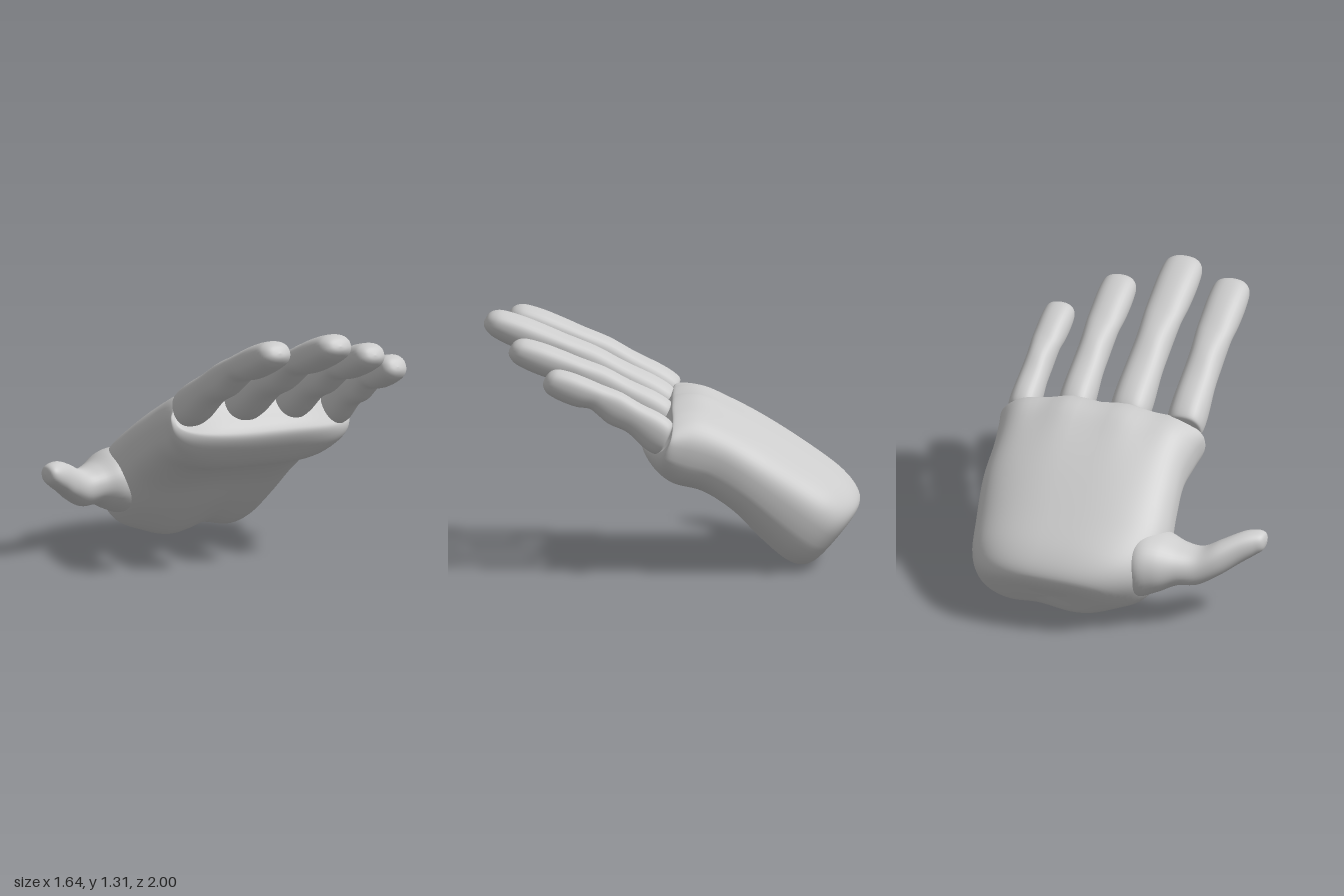
import * as THREE from 'three';

const material = new THREE.MeshStandardMaterial({ color: 0xcccccc });

// Smoothly interpolate between the rows of a section table
function sampleRows(rows, steps) {
  const out = [];
  const last = rows.length - 1;
  for (let i = 0; i < last; i++) {
    const [a, b, c, d] = [-1, 0, 1, 2].map((k) => rows[Math.min(last, Math.max(0, i + k))]);
    for (let s = 0; s < steps; s++) {
      const t = s / steps;
      out.push(b.map((_, k) => b[k] + 0.5 * t * (c[k] - a[k]
        + t * (2 * a[k] - 5 * b[k] + 4 * c[k] - d[k] + t * (3 * (b[k] - c[k]) + d[k] - a[k])))));
    }
  }
  out.push(rows[last]);
  return out;
}

// Skin a closed surface over rounded sections; place(row, u, v, f) returns a point, u and v in -1..1
function loft(name, rows, steps, sides, power, place) {
  const rings = sampleRows(rows, steps);
  const positions = [];
  const index = [];
  const round = (c) => Math.sign(c) * Math.pow(Math.abs(c), 2 / power);
  rings.forEach((row, i) => {
    for (let j = 0; j < sides; j++) {
      const a = (j / sides) * Math.PI * 2;
      positions.push(...place(row, round(Math.cos(a)), round(Math.sin(a)), i / (rings.length - 1)));
      if (i === rings.length - 1) continue;
      const p = i * sides + j;
      const q = i * sides + ((j + 1) % sides);
      index.push(p, q, p + sides, q, q + sides, p + sides);
    }
  });
  const geometry = new THREE.BufferGeometry();
  geometry.setAttribute('position', new THREE.Float32BufferAttribute(positions, 3));
  geometry.setIndex(index);
  geometry.computeVertexNormals();
  const mesh = new THREE.Mesh(geometry, material);
  mesh.name = name;
  return mesh;
}

const bump = (x, centre, width) => Math.exp(-(((x - centre) / width) ** 2));

// Palm: back edge (z, y), inner edge (z, y), right x, left x, from wrist to knuckles
function makePalm() {
  const rows = [
    [-0.88, 0.155, -0.88, 0.155, 0.24, 0.24],
    [-0.98, 0.265, -0.785, 0.03, 0.0, 0.51],
    [-0.993, 0.345, -0.7, -0.01, -0.14, 0.65],
    [-0.91, 0.45, -0.6, 0.02, -0.26, 0.72],
    [-0.73, 0.58, -0.46, 0.14, -0.315, 0.75],
    [-0.5, 0.73, -0.32, 0.29, -0.3, 0.775],
    [-0.3, 0.84, -0.16, 0.4, -0.285, 0.775],
    [-0.15, 0.9, 0.0, 0.45, -0.3, 0.795],
    [-0.02, 0.895, 0.1, 0.535, -0.325, 0.815],
    [0.01, 0.86, 0.16, 0.63, -0.305, 0.795],
    [0.045, 0.81, 0.15, 0.685, -0.23, 0.72],
    [0.095, 0.75, 0.095, 0.75, 0.24, 0.24],
  ];
  return loft('palm', rows, 6, 72, 2.7, ([tz, ty, bz, by, x0, x1], u, v, f) => {
    const x = (x0 + x1) / 2 + (u * (x1 - x0)) / 2;
    let y = (ty + by) / 2 + (v * (ty - by)) / 2;
    let z = (tz + bz) / 2 + (v * (tz - bz)) / 2;
    // Tendon ridges on the back, hollow between the pads on the inside
    if (v > 0) y += 0.01 * v * Math.cos(((x - 0.1) / 0.3) * Math.PI * 2) * bump(f, 0.68, 0.14);
    else {
      y -= v * (0.05 * bump(x, 0.35, 0.12) * bump(f, 0.22, 0.14) + 0.03 * bump(x, -0.1, 0.13) * bump(f, 0.17, 0.1));
      y -= v * 0.035 * bump(x, 0.2, 0.3) * bump(f, 0.45, 0.15);
    }
    // Knuckles fall away towards the little finger, and both ends bow outwards
    y -= 0.05 * Math.max(0, (x - 0.3) / 0.5) ** 2 * f;
    z += 0.1 * (x - 0.15) ** 2 * bump(f, 0.1, 0.2);
    z -= 0.1 * Math.abs((x - 0.24) / 0.55) ** 3 * bump(f, 0.95, 0.2);
    return [x, y, z];
  });
}

// Finger sections: position along length, half width, height above and below the axis
const fingerRows = [
  [-0.03, 0, 0, 0],
  [-0.025, 0.075, 0.065, 0.085],
  [0.0, 0.099, 0.092, 0.108],
  [0.1, 0.103, 0.108, 0.104],
  [0.27, 0.096, 0.111, 0.064],
  [0.42, 0.093, 0.122, 0.066],
  [0.53, 0.097, 0.118, 0.045],
  [0.6, 0.101, 0.114, 0.034],
  [0.7, 0.105, 0.112, 0.056],
  [0.82, 0.107, 0.106, 0.064],
  [0.92, 0.102, 0.092, 0.06],
  [0.965, 0.087, 0.074, 0.046],
  [0.992, 0.053, 0.044, 0.025],
  [1.0, 0, 0, 0],
];

function makeFinger({ name, base, tip, width, depth }) {
  const [dx, dy, dz] = tip.map((c, i) => c - base[i]);
  const length = Math.hypot(dz, dy);
  return loft(name, fingerRows, 5, 32, 2.3, ([t, w, top, bottom], u, v) => {
    const h = depth * ((top - bottom) / 2 + (v * (top + bottom)) / 2);
    return [
      base[0] + t * dx + u * w * width,
      base[1] + t * dy + (h * dz) / length,
      base[2] + t * dz - (h * dy) / length,
    ];
  });
}

const fingers = [
  { name: 'indexFinger', base: [-0.212, 0.815, 0.015], tip: [-0.21, 1.228, 0.88], width: 0.99, depth: 1.0 },
  { name: 'middleFinger', base: [0.11, 0.815, 0.04], tip: [0.097, 1.253, 1.0], width: 1.04, depth: 1.0 },
  { name: 'ringFinger', base: [0.416, 0.795, 0.045], tip: [0.412, 1.155, 0.863], width: 0.91, depth: 0.97 },
  { name: 'littleFinger', base: [0.704, 0.738, 0.035], tip: [0.685, 1.038, 0.675], width: 0.79, depth: 0.96 },
];

// Thumb sections: centre x, y, z, half height, half depth
function makeThumb() {
  const rows = [
    [-0.08, 0.33, -0.64, 0, 0],
    [-0.12, 0.33, -0.65, 0.12, 0.13],
    [-0.2, 0.325, -0.66, 0.175, 0.195],
    [-0.3, 0.333, -0.64, 0.155, 0.19],
    [-0.4, 0.33, -0.62, 0.11, 0.145],
    [-0.5, 0.322, -0.595, 0.1, 0.117],
    [-0.6, 0.366, -0.555, 0.098, 0.102],
    [-0.7, 0.412, -0.49, 0.085, 0.09],
    [-0.77, 0.434, -0.455, 0.066, 0.074],
    [-0.81, 0.442, -0.445, 0.042, 0.05],
    [-0.822, 0.445, -0.445, 0, 0],
  ];
  return loft('thumb', rows, 6, 40, 2.1, ([x, y, z, h, d], u, v) => [x, y + v * h, z + u * d]);
}

export function createModel() {
  const hand = new THREE.Group();
  hand.name = 'hand';
  hand.add(makePalm(), makeThumb(), ...fingers.map(makeFinger));
  return hand;
}
